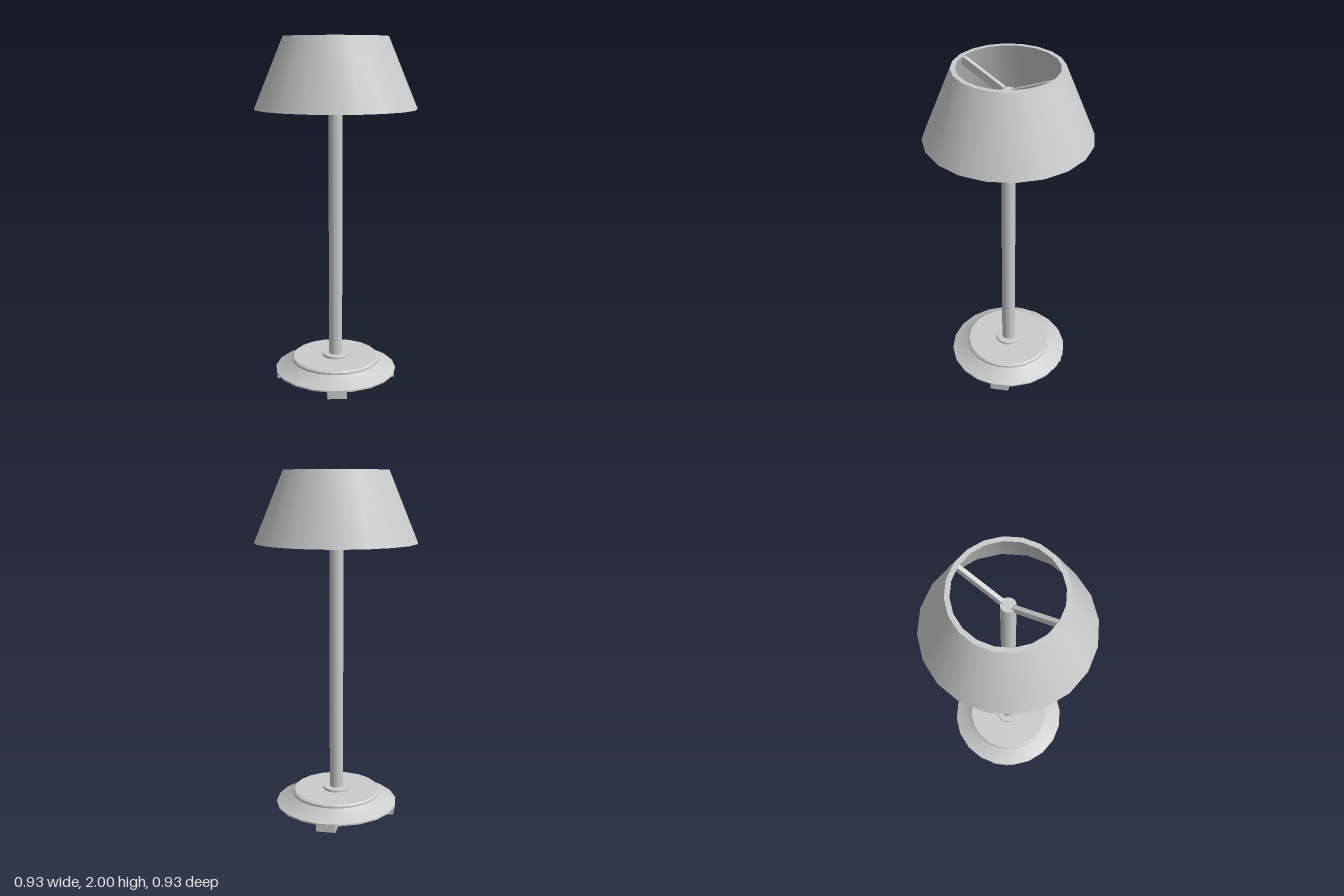
import * as THREE from 'three';
import { toCreasedNormals } from 'three/addons/utils/BufferGeometryUtils.js';

const SIDES = 20;

export function createModel() {
  const lamp = new THREE.Group();
  lamp.name = 'tableLamp';
  const material = new THREE.MeshStandardMaterial({ color: 0xcccccc });

  const add = (name, geometry) => {
    const mesh = new THREE.Mesh(geometry, material);
    mesh.name = name;
    lamp.add(mesh);
    return mesh;
  };
  // Revolved part, smooth around and sharp at profile corners
  const turned = (name, profile, sides) => add(name, toCreasedNormals(
    new THREE.LatheGeometry(profile.map(([r, y]) => new THREE.Vector2(r, y)), sides), 0.5));
  const polygon = (points) => new THREE.Shape(points.map(([x, y]) => new THREE.Vector2(x, y)));

  // Stepped base with a shallow conical underside
  turned('base', [
    [0, 0.003], [0.17, 0.003], [0.36, 0.043], [0.36, 0.052], [0.268, 0.098],
    [0.262, 0.105], [0.262, 0.116], [0.252, 0.125], [0, 0.125],
  ], SIDES);

  // Four feet, radiating at an angle to the axes
  for (let i = 0; i < 4; i++) {
    const foot = new THREE.ExtrudeGeometry(
      polygon([[0, -0.065], [0.35, -0.055], [0.35, 0.055], [0, 0.065]]),
      { depth: 0.043, bevelEnabled: false });
    foot.rotateX(-Math.PI / 2);
    add('foot' + (i + 1), foot).rotation.y = Math.PI / 8 + i * Math.PI / 2;
  }

  // Collar and pole
  turned('collar', [[0, 0.12], [0.078, 0.12], [0.078, 0.137], [0.075, 0.14], [0, 0.14]], 32);
  turned('pole', [[0, 0.12], [0.04, 0.12], [0.04, 1.87], [0, 1.87]], 24);

  // Sloping struts from the pole top to the shade rim
  for (const [name, turn] of [['frontStrut', 0], ['backStrut', Math.PI]]) {
    const strut = new THREE.ExtrudeGeometry(
      polygon([[0.025, 1.835], [0.285, 1.95], [0.272, 1.995], [0.025, 1.882]]),
      { depth: 0.022, bevelEnabled: false });
    strut.translate(0, 0, -0.011);
    strut.rotateY(-Math.PI / 2);
    add(name, strut).rotation.y = turn;
  }

  // Thick conical shade, open at both ends
  turned('shade', [
    [0.463, 1.6], [0.296, 2], [0.27, 2], [0.42, 1.6], [0.463, 1.6],
  ], SIDES);

  return lamp;
}
